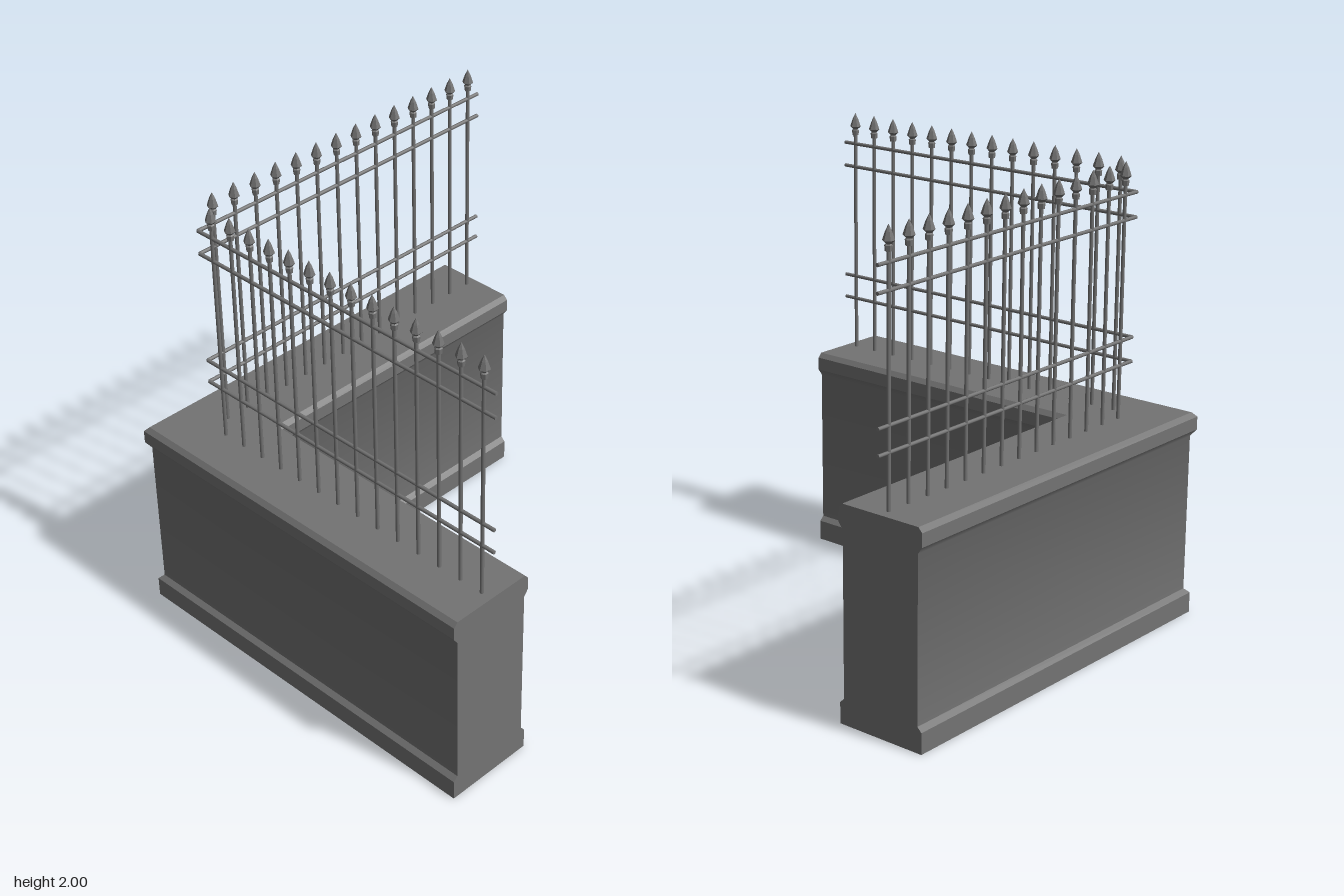
import * as THREE from 'three';

const AXIS = 0.7, END = 0.89; // fence centre line and wall ends
const stone = new THREE.MeshStandardMaterial({ color: 0x737373 });
stone.name = 'grey';

// Half profile of the wall: offset from centre line, height
const profile = [
  [0.205, 0], [0.205, 0.09], [0.185, 0.11], [0.185, 0.805],
  [0.205, 0.833], [0.205, 0.89], [0.187, 0.91],
];

// Normal of a profile segment (outward, up)
function segNormal(i) {
  const [a, b] = [profile[i], profile[i + 1]];
  return new THREE.Vector2(b[1] - a[1], a[0] - b[0]).normalize();
}

// L-shaped wall, mitred at the corner, from the profile on both sides
function wallGeometry() {
  const pos = [], nor = [];
  const stations = [
    (d, y) => new THREE.Vector3(END, y, AXIS + d),
    (d, y) => new THREE.Vector3(-AXIS - d, y, AXIS + d),
    (d, y) => new THREE.Vector3(-AXIS - d, y, -END),
  ];
  const tri = (pts, ns, facing) => {
    const c = pts[1].clone().sub(pts[0]).cross(pts[2].clone().sub(pts[0]));
    const order = c.dot(facing) < 0 ? [0, 2, 1] : [0, 1, 2];
    order.forEach((k) => { pos.push(...pts[k].toArray()); nor.push(...ns[k].toArray()); });
  };
  const quad = (p, n, facing) => {
    tri([p[0], p[1], p[2]], [n[0], n[1], n[2]], facing);
    tri([p[0], p[2], p[3]], [n[0], n[2], n[3]], facing);
  };
  const flat = (p, n) => quad(p, [n, n, n, n], n);

  // the hollow under the coping blends softly into the wall face
  const soft = segNormal(2).add(segNormal(3)).normalize();
  for (const side of [1, -1]) {
    for (let leg = 0; leg < 2; leg++) {
      const dir = (n) => leg === 0 ? new THREE.Vector3(0, n.y, side * n.x) : new THREE.Vector3(-side * n.x, n.y, 0);
      for (let i = 0; i < profile.length - 1; i++) {
        const [d0, y0] = profile[i], [d1, y1] = profile[i + 1];
        const n = segNormal(i);
        const nA = dir(i === 3 ? soft : n), nB = dir(i === 2 ? soft : n);
        const [s, t] = [stations[leg], stations[leg + 1]];
        quad([s(side * d0, y0), t(side * d0, y0), t(side * d1, y1), s(side * d1, y1)], [nA, nA, nB, nB], dir(n));
      }
    }
  }
  // top and underside
  for (const [[d, y], ny] of [[profile[profile.length - 1], 1], [profile[0], -1]]) {
    for (let leg = 0; leg < 2; leg++) {
      const [s, t] = [stations[leg], stations[leg + 1]];
      flat([s(d, y), t(d, y), t(-d, y), s(-d, y)], new THREE.Vector3(0, ny, 0));
    }
  }
  // end faces
  for (const [s, n] of [[stations[0], new THREE.Vector3(1, 0, 0)], [stations[2], new THREE.Vector3(0, 0, -1)]]) {
    for (let i = 0; i < profile.length - 1; i++) {
      const [d0, y0] = profile[i], [d1, y1] = profile[i + 1];
      flat([s(d0, y0), s(-d0, y0), s(-d1, y1), s(d1, y1)], n);
    }
  }
  const g = new THREE.BufferGeometry();
  g.setAttribute('position', new THREE.Float32BufferAttribute(pos, 3));
  g.setAttribute('normal', new THREE.Float32BufferAttribute(nor, 3));
  return g;
}

function add(parent, name, geometry, x, y, z) {
  const m = new THREE.Mesh(geometry, stone);
  m.name = name;
  m.position.set(x, y, z);
  parent.add(m);
  return m;
}

export function createModel() {
  const model = new THREE.Group();
  model.name = 'cornerFence';
  add(model, 'wall', wallGeometry(), 0, 0, 0);

  // Bars with spear heads
  const barGeo = new THREE.CylinderGeometry(0.008, 0.008, 1.01, 8);
  const headPoints = [[0, 1.9], [0.014, 1.9], [0.016, 1.922], [0.011, 1.927], [0.024, 1.94], [0.013, 1.973], [0, 2]];
  let headGeo = new THREE.LatheGeometry(headPoints.map(([r, y]) => new THREE.Vector2(r, y)), 6).toNonIndexed();
  headGeo.computeVertexNormals();

  // Rails
  const railHeights = [1.14, 1.245, 1.755, 1.86];
  const railLength = 0.9 + AXIS;
  const railGeo = new THREE.CylinderGeometry(0.008, 0.008, railLength, 8);

  for (const name of ['frontFence', 'sideFence']) {
    const fence = new THREE.Group();
    fence.name = name;
    const front = name === 'frontFence';
    // t runs along the leg, away from the corner
    const at = (t) => front ? [t, AXIS] : [-AXIS, -t];
    for (let i = 0; i < 14; i++) {
      const [x, z] = at(-0.617 + i * 0.112);
      add(fence, 'bar', barGeo, x, 1.405, z);
      add(fence, 'spearHead', headGeo, x, 0, z);
    }
    for (const y of railHeights) {
      const [x, z] = at((0.9 - AXIS) / 2);
      const rail = add(fence, 'rail', railGeo, x, y, z);
      if (front) rail.rotation.z = Math.PI / 2;
      else rail.rotation.x = Math.PI / 2;
    }
    model.add(fence);
  }
  return model;
}
